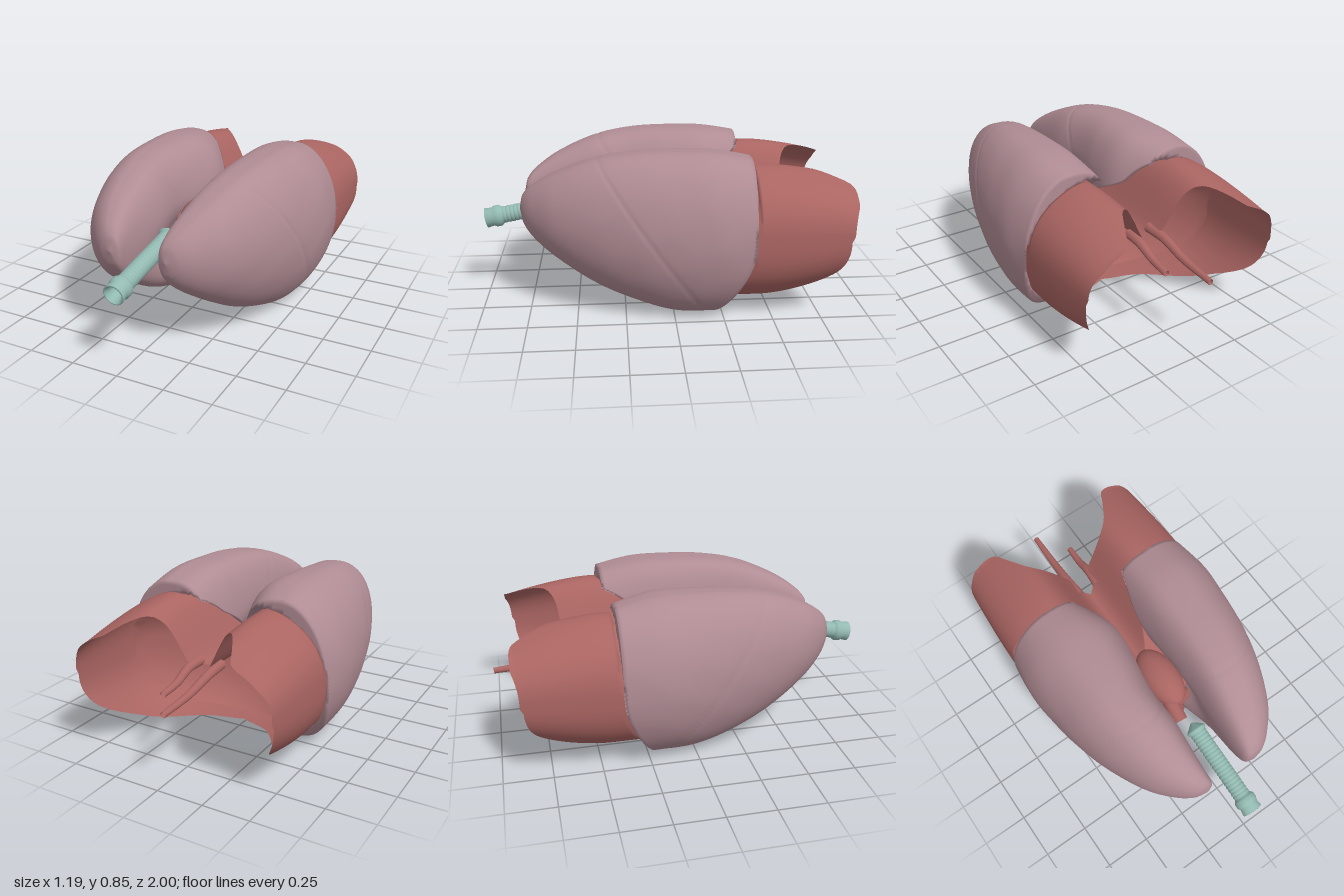
import * as THREE from 'three';

const material = (color) => new THREE.MeshStandardMaterial({ color, side: THREE.DoubleSide });
const clamp = THREE.MathUtils.clamp, lerp = THREE.MathUtils.lerp;
const bell = (v, w) => Math.exp(-((v / w) ** 2));

// Smooth lookup of column k in a table sorted by its first column
function lookup(table, v, k) {
  const n = table.length;
  v = clamp(v, table[0][0], table[n - 1][0]);
  let i = 0;
  while (i < n - 2 && v > table[i + 1][0]) i++;
  const slope = (j) => {
    const a = table[Math.max(j - 1, 0)], b = table[Math.min(j + 1, n - 1)];
    return (b[k] - a[k]) / (b[0] - a[0]);
  };
  const p = table[i], q = table[i + 1], d = q[0] - p[0], s = (v - p[0]) / d, r = 1 - s;
  return r * r * (1 + 2 * s) * p[k] + s * s * (3 - 2 * s) * q[k]
    + d * s * r * (r * slope(i) - s * slope(i + 1));
}

// Surface through closed loops; point(row 0..1, angle) returns [x, y, z]
function loft(rows, cols, point) {
  const pos = [], index = [];
  for (let i = 0; i <= rows; i++)
    for (let j = 0; j < cols; j++) pos.push(...point(i / rows, (j / cols) * Math.PI * 2));
  for (let i = 0; i < rows; i++)
    for (let j = 0; j < cols; j++) {
      const a = i * cols + j, b = i * cols + ((j + 1) % cols), c = a + cols, d = b + cols;
      index.push(a, c, b, b, c, d);
    }
  const geo = new THREE.BufferGeometry();
  geo.setAttribute('position', new THREE.Float32BufferAttribute(pos, 3));
  geo.setIndex(index);
  geo.computeVertexNormals();
  return geo;
}

// Two-lobed dome shared by the lung bases and the diaphragm
function domeZ(x, y) {
  const saddle = 0.7 * bell(x, 0.14) * clamp((y - 0.42) / 0.22, 0, 1);
  const f = 1 - (x / 0.575) ** 2 - ((y - 0.42) / (y > 0.42 ? 0.38 : 0.44)) ** 2 - saddle;
  return -0.41 + 0.44 * clamp(f, 0, 1) ** 0.7 + 0.2 * clamp((0.42 - y) / 0.42, 0, 1) ** 1.6;
}

// z, outer x, inner x (left lung), inner x (right lung), bottom y, top y
const lungTable = [
  [-0.42, 0.575, 0.09, 0.1, 0.02, 0.81],
  [-0.2, 0.597, 0.085, 0.02, 0.005, 0.85],
  [0, 0.58, 0.085, 0.035, 0.01, 0.855],
  [0.2, 0.545, 0.09, 0.07, 0.07, 0.845],
  [0.4, 0.485, 0.09, 0.07, 0.155, 0.81],
  [0.6, 0.39, 0.09, 0.09, 0.28, 0.73],
  [0.72, 0.29, 0.095, 0.1, 0.375, 0.655],
  [0.775, 0.215, 0.11, 0.11, 0.45, 0.595],
  [0.79, 0.16, 0.145, 0.14, 0.515, 0.535],
];

function lungPoint(side, t, z) {
  const c = Math.cos(t), s = Math.sin(t), inner = c * side < 0;
  const [out, inn, bot, top] = [1, side > 0 ? 2 : 3, 4, 5].map((k) => lookup(lungTable, z, k));
  const power = !inner ? 1.06 : s > 0 ? (side > 0 ? 0.5 : 0.65) : side > 0 ? 0.55 : 0.36;
  let y = (bot + top) / 2 + ((top - bot) / 2) * s;
  let off = ((out - inn) / 2) * Math.abs(c) ** power * (inner ? -1 : 1);
  // hilum hollow and lower tongue on the inner face
  if (inner) {
    off += 0.07 * bell(y - 0.42, 0.1) * bell(z - 0.15, 0.25);
    off -= 0.06 * bell(y - 0.19, 0.1) * bell(z - 0.2, 0.25) * Math.abs(c);
  }
  // oblique fissure and faint surface bumps
  const d = ((z - 0.1) * 0.72 - (y - 0.41) * 0.5) / 0.877;
  const groove = bell(d, 0.008);
  const k = 1 - 0.018 * groove + 0.004 * Math.sin(23 * z + 9 * y) * Math.sin(19 * y - 7 * z + side);
  y = 0.43 + (y - 0.43) * (1 - 0.008 * groove);
  return [side * ((out + inn) / 2 + off * k), y, z];
}

function lungGeometry(side) {
  const tip = 0.03, base = 0.84;
  return loft(125, 120, (u, t) => {
    // rounded tip closing to a point
    if (u < tip) {
      const [x, y] = lungPoint(side, t, 0.79), f = u / tip;
      return [lerp(side * 0.152, x, f), lerp(0.525, y, f), 0.792 - 0.002 * f];
    }
    // the lower edge of the lung follows the dome
    let zb = -0.3, p;
    for (let i = 0; i < 8; i++) {
      p = lungPoint(side, t, zb);
      zb = lerp(zb, domeZ(p[0], p[1]) + 0.015, 0.5);
    }
    if (u <= base) return lungPoint(side, t, lerp(0.79, zb, ((u - tip) / (base - tip)) ** 1.5));
    // hollow base resting on the dome
    const f = (1 - u) / (1 - base);
    const x = lerp(side * 0.33, p[0], f), y = lerp(0.43, p[1], f);
    return [x, y, domeZ(x, y) + 0.015];
  });
}

// Rear edge of the diaphragm: |x|, z
const upperRim = [[0, -0.5], [0.03, -0.52], [0.06, -0.62], [0.1, -0.63], [0.17, -0.65],
  [0.25, -0.71], [0.32, -0.82], [0.37, -0.9], [0.5, -0.915], [0.54, -0.9], [0.58, -0.88]];
const lowerRim = [[0, -0.2], [0.2, -0.3], [0.4, -0.6], [0.5, -0.8], [0.58, -0.88]];

function diaphragmPoint(u, t) {
  const c = Math.cos(t), s = Math.sin(t), split = 0.5, pole = 0.25;
  const px = 0.57 * Math.sign(c) * Math.abs(c) ** 0.9;
  const py = s > 0
    ? 0.42 + 0.39 * s ** 0.75 - 0.36 * bell(px, 0.15) * s
    : 0.42 - 0.4 * (-s) ** 0.8;
  const z0 = domeZ(px, py);
  // dome
  if (u < split) {
    const f = u / split, x = px * f, y = lerp(pole, py, f);
    return [x, y, domeZ(x, y)];
  }
  // skirt tapering to the open rear edge
  const rim = Math.min(lookup(s > 0 ? upperRim : lowerRim, Math.abs(px), 1), z0 - 0.01);
  const z = lerp(z0, rim, (u - split) / (1 - split));
  const k = clamp((-0.45 - z) / 0.45, 0, 1) ** 1.6;
  return [px * (1 - 0.04 * k), 0.47 + (py - 0.47) * (1 - 0.25 * k), z];
}

// Rounded strand along points, tapering from radius r0 to r1
function strand(points, r0, r1) {
  const curve = new THREE.CatmullRomCurve3(points.map((p) => new THREE.Vector3(...p)));
  const geo = new THREE.TubeGeometry(curve, 20, 1, 12);
  const pos = geo.attributes.position, v = new THREE.Vector3();
  for (let i = 0; i < pos.count; i++) {
    const u = Math.floor(i / 13) / 20, centre = curve.getPointAt(u);
    v.fromBufferAttribute(pos, i).sub(centre).multiplyScalar(lerp(r0, r1, u)).add(centre);
    pos.setXYZ(i, v.x, v.y, v.z);
  }
  geo.computeVertexNormals();
  return geo;
}

export function createModel() {
  const model = new THREE.Group();
  const pink = material(0xb08c94), red = material(0xaa6562), teal = material(0x93bab2);
  const add = (name, geo, mat, parent = model) => {
    const mesh = new THREE.Mesh(geo, mat);
    mesh.name = name;
    parent.add(mesh);
    return mesh;
  };

  add('leftLung', lungGeometry(1), pink);
  add('rightLung', lungGeometry(-1), pink);
  add('diaphragm', loft(80, 144, diaphragmPoint), red);

  // Tendons trailing from the middle of the diaphragm
  add('rightCrus', strand([[-0.06, 0.48, -0.52], [-0.065, 0.47, -0.64], [-0.06, 0.43, -0.8],
    [-0.055, 0.41, -1]], 0.028, 0.015), red);
  add('leftCrus', strand([[0.06, 0.48, -0.52], [0.065, 0.47, -0.62], [0.065, 0.43, -0.72],
    [0.07, 0.41, -0.83]], 0.028, 0.016), red);

  // Tissue between the lungs
  const core = new THREE.Group();
  core.name = 'mediastinum';
  model.add(core);
  for (const [name, x, y, z, rx, ry, rz] of [
    ['upperCore', 0.015, 0.52, 0.15, 0.1, 0.09, 0.18],
    ['lowerCore', 0.03, 0.27, 0.1, 0.1, 0.13, 0.21],
  ]) {
    const mesh = add(name, new THREE.SphereGeometry(1, 32, 20), red, core);
    mesh.position.set(x, y, z);
    mesh.scale.set(rx, ry, rz);
  }
  const root = [0.01, 0.42, 0.28];
  for (const [x, y, z] of [[-0.13, 0.52, 0.18], [-0.12, 0.29, 0.24], [0.17, 0.47, 0.2],
    [0.16, 0.32, 0.24], [-0.03, 0.22, 0.26], [0.07, 0.24, 0.27]])
    add('vessel', strand([root, [x * 0.5, lerp(0.42, y, 0.5), z + 0.03], [x, y, z]], 0.04, 0.025),
      red, core);
  add('bronchus', strand([[-0.03, 0.48, 0.4], [-0.02, 0.5, 0.3], [0, 0.51, 0.15]], 0.04, 0.04),
    red, core);

  // Windpipe: finely ribbed tube with a flared collar and a hollow mouth
  const profile = [[0.006, 0], [0.05, 0.035], [0.056, 0.045], [0.046, 0.058]];
  for (let i = 0; i < 19; i++) {
    const y = 0.06 + i * 0.021;
    profile.push([0.043, y], [0.046, y + 0.006], [0.046, y + 0.013], [0.043, y + 0.019]);
  }
  profile.push([0.05, 0.465], [0.058, 0.475], [0.058, 0.5], [0.05, 0.515], [0.054, 0.55],
    [0.046, 0.552], [0.036, 0.52], [0.034, 0.4], [0.001, 0.38]);
  const windpipe = add('windpipe',
    new THREE.LatheGeometry(profile.map((p) => new THREE.Vector2(...p)), 32), teal);
  windpipe.rotation.x = Math.PI / 2 + 0.18;
  windpipe.position.set(0, 0.52, 0.45);

  return model;
}
